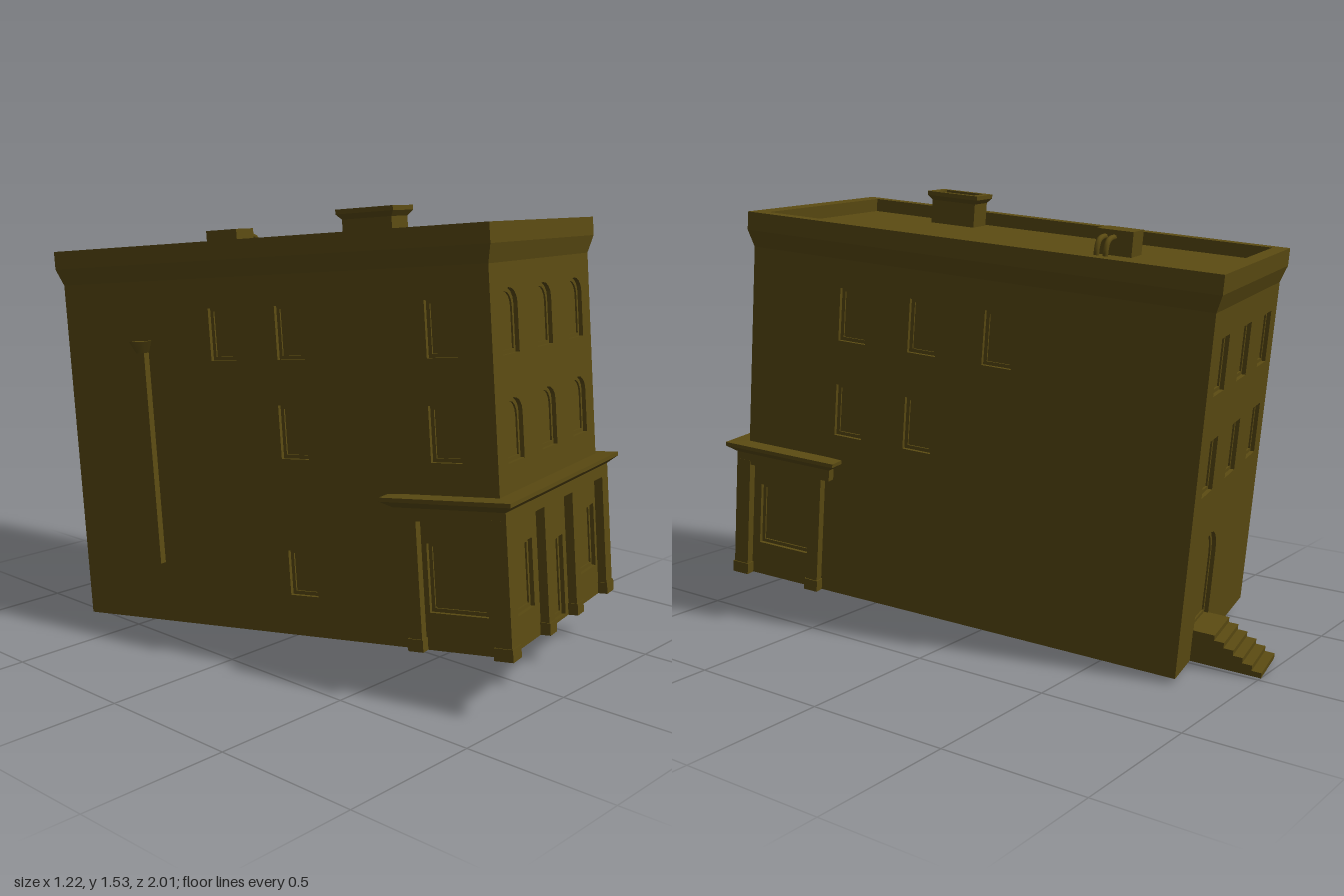
import * as THREE from 'three';

const W = 0.405, D = 0.82, H = 1.25, T = 0.03; // half width, half depth, wall height, wall thickness

export function createModel() {
  const brown = new THREE.MeshStandardMaterial({ color: 0x5a4a12 });
  brown.name = 'dark olive brown';
  const building = new THREE.Group();
  building.name = 'building';

  const add = (parent, name, geo, x = 0, y = 0, z = 0) => {
    const m = new THREE.Mesh(geo, brown);
    m.name = name;
    m.position.set(x, y, z);
    parent.add(m);
    return m;
  };
  const box = (parent, name, w, h, d, x, y, z) => add(parent, name, new THREE.BoxGeometry(w, h, d), x, y, z);

  // Opening outline: rectangle whose top rises into an arch
  const outline = (Kind, { x, y, w, h, rise = 0 }, inset = 0) => {
    const s = new Kind(), a = w / 2 - inset, b = y - h / 2 + inset, t = y + h / 2 - inset;
    s.moveTo(x - a, b);
    s.lineTo(x + a, b);
    s.lineTo(x + a, t - rise);
    if (rise) for (let i = 1; i < 8; i++) {
      const k = Math.PI * i / 8;
      s.lineTo(x + a * Math.cos(k), t - rise + rise * Math.sin(k));
    }
    s.lineTo(x - a, t - rise);
    s.closePath();
    return s;
  };
  const extrude = (s, depth) => new THREE.ExtrudeGeometry(s, { depth, bevelEnabled: false });

  // Wall with recessed openings, each holding a frame and a pane
  const wall = (name, half, angle, x, z, openings) => {
    const g = new THREE.Group();
    g.name = name;
    g.rotation.y = angle;
    g.position.set(x, 0, z);
    const s = new THREE.Shape();
    s.moveTo(-half, 0); s.lineTo(half, 0); s.lineTo(half, H); s.lineTo(-half, H); s.closePath();
    openings.forEach(o => s.holes.push(outline(THREE.Path, o)));
    add(g, name + 'Panel', extrude(s, T), 0, 0, -T);
    openings.forEach(o => {
      add(g, 'pane', extrude(outline(THREE.Shape, o), 0.008), 0, 0, -0.028);
      const f = outline(THREE.Shape, o);
      f.holes.push(outline(THREE.Path, o, 0.012));
      add(g, 'frame', extrude(f, 0.006), 0, 0, -0.02);
    });
    building.add(g);
  };
  const win = (x, y, w = 0.105, h = 0.18, rise = 0) => ({ x, y, w, h, rise });

  const front = [], back = [];
  for (const x of [-0.27, 0, 0.27]) {
    front.push(win(x, 1.01, 0.125, 0.2, 0.05), win(x, 0.68, 0.125, 0.195, 0.05));
    back.push(win(x, 1.005, 0.12, 0.18), win(x, 0.675, 0.12, 0.18));
  }
  front.push(win(-0.275, 0.215, 0.185, 0.22), win(0.27, 0.215, 0.185, 0.22), win(0, 0.145, 0.138, 0.27));
  back.push(win(-0.154, 0.265, 0.17, 0.315, 0.085));
  const shopSide = r => win(r, 0.23, 0.2, 0.22);
  const right = [[0.42, 1], [0.155, 1], [-0.118, 1], [0.42, 0.667], [0.153, 0.667]].map(([r, y]) => win(-r, y));
  right.push(shopSide(-0.665));
  const left = [[0.655, 1], [0.115, 1], [-0.148, 1], [0.65, 0.68], [0.105, 0.677]].map(([r, y]) => win(r, y, 0.105, 0.175));
  left.push(win(0.105, 0.21, 0.105, 0.15), shopSide(0.665));
  wall('frontWall', W, 0, 0, D, front);
  wall('backWall', W, Math.PI, 0, -D, back);
  wall('leftWall', D - T, Math.PI / 2, W, 0, right);
  wall('rightWall', D - T, -Math.PI / 2, -W, 0, left);

  // Moulding: profile [outward, height] swept along corners [x, z, mitreX, mitreZ]
  const moulding = (parent, name, profile, path, closed) => {
    const pos = [], n = path.length;
    const at = (c, [o, y]) => [c[0] + o * c[2], y, c[1] + o * c[3]];
    for (let i = 0; i < (closed ? n : n - 1); i++) {
      for (let j = 0; j < profile.length - 1; j++) {
        const p = path[i], q = path[(i + 1) % n];
        const a = at(p, profile[j]), b = at(q, profile[j]), c = at(q, profile[j + 1]), d = at(p, profile[j + 1]);
        pos.push(...a, ...b, ...c, ...a, ...c, ...d);
      }
    }
    const geo = new THREE.BufferGeometry();
    geo.setAttribute('position', new THREE.Float32BufferAttribute(pos, 3));
    geo.computeVertexNormals();
    return add(parent, name, geo);
  };
  const ring = (a, d) => [[-a, d, -1, 1], [a, d, 1, 1], [a, -d, 1, -1], [-a, -d, -1, -1]];

  // Roof with parapet and cornice
  moulding(building, 'cornice', [[0, 1.187], [0.018, 1.245], [0.018, 1.307], [-0.033, 1.307], [-0.033, 1.26]], ring(W, D), true);
  box(building, 'roof', 2 * W - 0.04, 0.02, 2 * D - 0.04, 0, 1.25, 0);

  // Shopfront cornice wrapping three sides
  moulding(building, 'shopCornice',
    [[0, 0.415], [0.03, 0.415], [0.03, 0.455], [0.06, 0.477], [0.06, 0.49], [0, 0.492]],
    [[-W + 0.015, 0.5, 0, -1], [-W, 0.5, -1, -1], [-W, D, -1, 1], [W, D, 1, 1], [W, 0.5, 1, -1], [W - 0.015, 0.5, 0, -1]], false);

  // Shopfront pilasters with plinths
  for (const s of [-1, 1]) {
    const spots = [[0.408, 0.8225, 0.055, 0.055], [0.12, 0.83, 0.046, 0.04], [0.416, 0.525, 0.038, 0.045]];
    for (const [x, z, w, d] of spots) {
      box(building, 'pilaster', w, 0.43, d, s * x, 0.215, z);
      box(building, 'plinth', w + 0.008, 0.04, d + 0.008, s * x, 0.02, z);
    }
  }

  // Back stairs
  const steps = 6, rise = 0.108 / steps, run = 0.2 / steps;
  const stair = new THREE.Shape();
  stair.moveTo(0.79, 0);
  stair.lineTo(0.86 + run * steps, 0);
  for (let i = 0; i < steps; i++) {
    const x = 0.86 + run * (steps - i);
    stair.lineTo(x, rise * (i + 1));
    stair.lineTo(i === steps - 1 ? 0.79 : x - run, rise * (i + 1));
  }
  stair.closePath();
  add(building, 'backStairs', extrude(stair, 0.18), 0.064, 0, 0).rotation.y = Math.PI / 2;

  // Downpipe with hopper head
  box(building, 'downpipe', 0.026, 0.75, 0.032, -W - 0.013, 0.585, -0.48);
  const hopper = new THREE.CylinderGeometry(0.045, 0.024, 0.04, 4).rotateY(Math.PI / 4);
  add(building, 'hopper', hopper, -W - 0.01, 0.965, -0.48);

  // Open chimney with flared rim
  const chimney = new THREE.Group();
  chimney.name = 'chimney';
  chimney.position.set(-0.3, 0, 0.393);
  moulding(chimney, 'chimneyShaft',
    [[0, 1.255], [0, 1.345], [0.014, 1.362], [0.014, 1.377], [-0.012, 1.377], [-0.012, 1.32]], ring(0.052, 0.088), true);
  box(chimney, 'chimneyFloor', 0.09, 0.06, 0.16, 0, 1.29, 0);
  building.add(chimney);

  // Roof vent with two bent ducts
  box(building, 'ventBox', 0.105, 0.09, 0.13, -0.055, 1.301, -0.337);
  for (const z of [-0.335, -0.303]) {
    const curve = new THREE.CatmullRomCurve3([
      [-0.02, 1.32], [0.03, 1.32], [0.057, 1.31], [0.068, 1.285], [0.068, 1.25],
    ].map(([x, y]) => new THREE.Vector3(x, y, z)));
    add(building, 'duct', new THREE.TubeGeometry(curve, 12, 0.01, 8));
  }

  // The whole building leans and turns slightly
  const u = new THREE.Vector3(0.978, -0.03, -0.2087).normalize();
  const v = new THREE.Vector3(0.2095, 0.093, 0.973).cross(u).normalize();
  const w = u.clone().cross(v);
  building.quaternion.setFromRotationMatrix(new THREE.Matrix4().makeBasis(u, v, w));

  const model = new THREE.Group();
  model.name = 'leaningBuilding';
  model.add(building);
  model.updateMatrixWorld(true);
  const bounds = new THREE.Box3().setFromObject(model, true);
  const c = bounds.getCenter(new THREE.Vector3());
  building.position.set(-c.x, -bounds.min.y, -c.z);
  return model;
}
